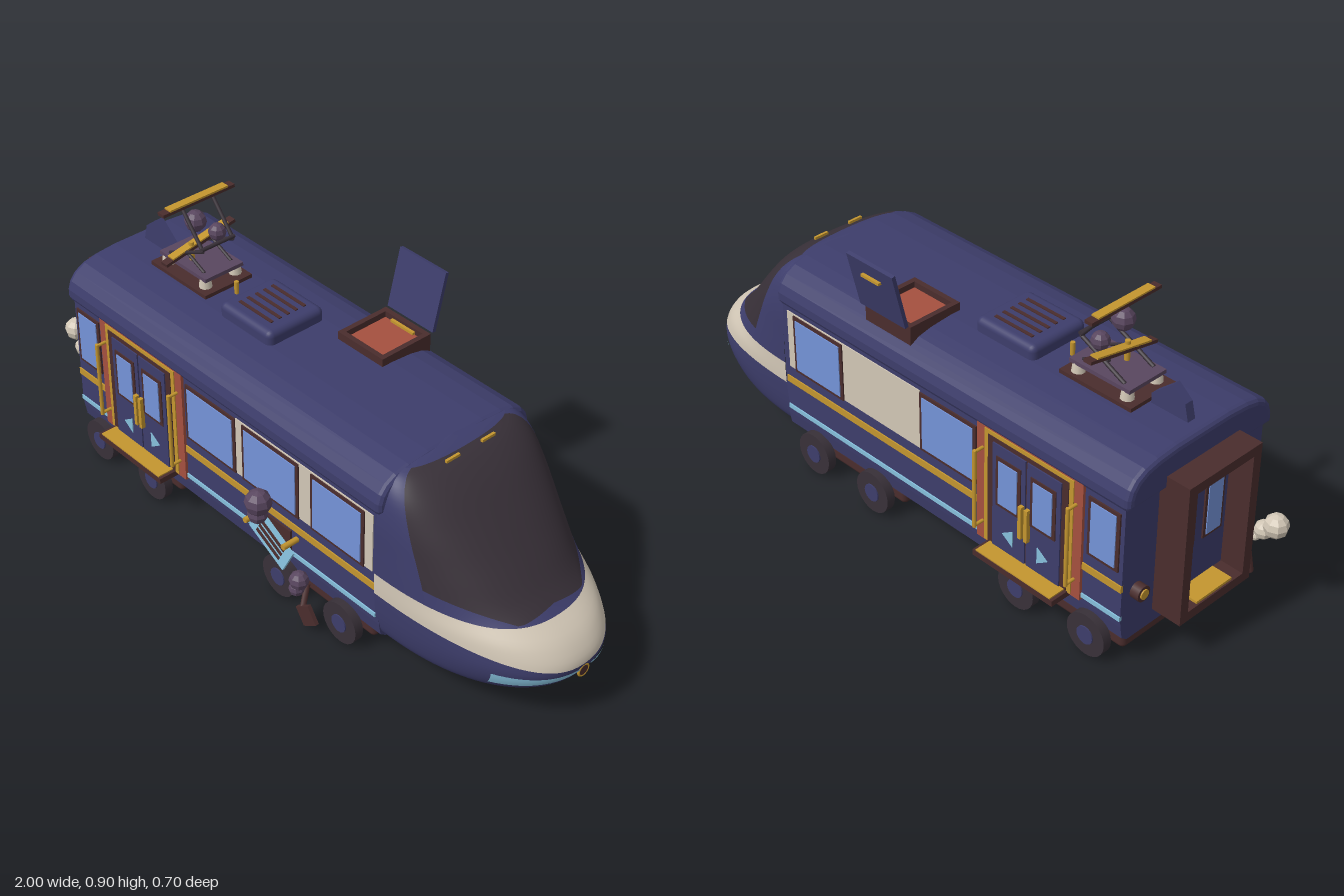
import * as THREE from 'three';
import { RoundedBoxGeometry } from 'three/addons/geometries/RoundedBoxGeometry.js';

const mat = {};
for (const [name, color] of Object.entries({
  navy: 0x3d3d6b, glass: 0x7493d8, cyan: 0x86c0dc, gold: 0xc4962f, brown: 0x4a2d2d,
  charcoal: 0x383038, terracotta: 0xa5503f, cream: 0xd2c7b6, plum: 0x59465f,
})) {
  mat[name] = new THREE.MeshStandardMaterial({ color });
  mat[name].name = name;
}

export function createModel() {
  const model = new THREE.Group();
  model.name = 'train';
  const train = new THREE.Group();
  train.name = 'railcar';
  train.position.z = -0.011;
  model.add(train);

  const add = (name, m, geo, x = 0, y = 0, z = 0) => {
    const mesh = new THREE.Mesh(geo, mat[m]);
    mesh.name = name;
    mesh.position.set(x, y, z);
    train.add(mesh);
    return mesh;
  };
  const box = (name, m, x0, x1, y0, y1, z0, z1) => add(name, m,
    new THREE.BoxGeometry(x1 - x0, y1 - y0, z1 - z0), (x0 + x1) / 2, (y0 + y1) / 2, (z0 + z1) / 2);
  const rounded = (name, m, x0, x1, y0, y1, z0, z1, r) => add(name, m,
    new RoundedBoxGeometry(x1 - x0, y1 - y0, z1 - z0, 3, r), (x0 + x1) / 2, (y0 + y1) / 2, (z0 + z1) / 2);
  const rod = (name, m, a, b, r = 0.006) => {
    const p = new THREE.Vector3(...a), q = new THREE.Vector3(...b), d = q.clone().sub(p);
    const mesh = add(name, m, new THREE.CylinderGeometry(r, r, d.length(), 8));
    mesh.position.copy(p).add(q).multiplyScalar(0.5);
    mesh.quaternion.setFromUnitVectors(new THREE.Vector3(0, 1, 0), d.normalize());
  };
  const puff = (m, x, y, z, r) => {
    const geo = new THREE.SphereGeometry(r, 8, 6).toNonIndexed();
    geo.computeVertexNormals();
    add('smokePuff', m, geo, x, y, z);
  };
  // half profile [z, y] mirrored and extruded along x
  const hull = (name, half, x0, x1, bevel) => {
    const pts = [...half, ...half.map(([z, y]) => [-z, y]).reverse()].map(p => new THREE.Vector2(...p));
    const geo = new THREE.ExtrudeGeometry(new THREE.Shape(pts), {
      depth: x1 - x0 - 2 * bevel, bevelEnabled: bevel > 0, bevelThickness: bevel,
      bevelSize: bevel, bevelOffset: -bevel, bevelSegments: 3 });
    add(name, 'navy', geo.rotateY(Math.PI / 2).translate(x0 + bevel, 0, 0));
  };

  // Carriage body and roof
  hull('body', [[0.235, 0.085], [0.255, 0.1], [0.262, 0.14], [0.265, 0.17], [0.265, 0.55]], -0.825, 0.5, 0);
  hull('roof', [[0.272, 0.53], [0.277, 0.54], [0.277, 0.565], [0.268, 0.592], [0.248, 0.616],
    [0.215, 0.634], [0.17, 0.644], [0.1, 0.65]], -0.845, 0.51, 0.018);

  // Nose: plan-view superellipses swept up a profile of (length, height, half width)
  const profile = new THREE.CatmullRomCurve3([[0, 0.073, 0], [0.3, 0.076, 0.2], [0.4, 0.092, 0.235],
    [0.46, 0.118, 0.254], [0.5, 0.16, 0.264], [0.508, 0.2, 0.269], [0.47, 0.26, 0.273],
    [0.385, 0.32, 0.274], [0.305, 0.41, 0.273], [0.22, 0.505, 0.27], [0.145, 0.58, 0.255],
    [0.09, 0.62, 0.228], [0.05, 0.638, 0.19], [0, 0.652, 0]].map(p => new THREE.Vector3(...p)));
  const tOf = y => {
    let a = 0, b = 1;
    for (let i = 0; i < 24; i++) {
      const m = (a + b) / 2;
      if (profile.getPoint(m).y < y) a = m; else b = m;
    }
    return a;
  };
  const skin = (name, m, a0, a1, low, high, rows, cols, off = 0) => {
    const pos = [], idx = [];
    for (let j = 0; j <= cols; j++) {
      const a = THREE.MathUtils.degToRad(a0 + (a1 - a0) * j / cols);
      const s = Math.sin(a), c = Math.max(Math.cos(a), 0);
      const t0 = low(Math.abs(s)), t1 = high(Math.abs(s));
      for (let i = 0; i <= rows; i++) {
        const p = profile.getPoint(t0 + (t1 - t0) * i / rows);
        pos.push(0.49 + (p.x + off) * c ** 0.87, p.y, (p.z + off) * Math.sign(s) * Math.abs(s) ** 0.87);
        if (i < rows && j < cols) {
          const k = j * (rows + 1) + i, n = k + rows + 1;
          idx.push(k, k + 1, n, n, k + 1, n + 1);
        }
      }
    }
    const geo = new THREE.BufferGeometry();
    geo.setAttribute('position', new THREE.Float32BufferAttribute(pos, 3));
    geo.setIndex(idx);
    geo.computeVertexNormals();
    add(name, m, geo);
  };
  const bandLow = s => tOf(0.19 + 0.065 * s ** 1.6), bandTop = s => tOf(0.3 + 0.025 * s ** 4);
  const glassLow = s => tOf(s > 0.38 ? 0.303 + (s - 0.38) * 0.105 : 0.303 + 0.015 * (1 - s / 0.38));
  const brow = () => tOf(0.639);
  skin('noseLower', 'navy', -90, 90, () => 0, bandLow, 20, 48);
  skin('noseBand', 'cream', -90, 90, bandLow, bandTop, 8, 48);
  skin('noseSill', 'navy', -66, 66, bandTop, glassLow, 2, 40);
  skin('windshield', 'charcoal', -66, 66, glassLow, brow, 20, 40);
  skin('noseCheek', 'navy', -90, -66, bandTop, brow, 20, 10);
  skin('noseCheek', 'navy', 66, 90, bandTop, brow, 20, 10);
  skin('noseBrow', 'navy', -90, 90, brow, () => 1, 6, 48);
  const lampLow = s => tOf(0.18 - 0.035 * s / 0.727), lampTop = s => tOf(0.184 + 0.002 * s);
  skin('headlight', 'cyan', 3, 46.6, lampLow, lampTop, 4, 14, 0.004);
  skin('headlight', 'cyan', -46.6, -3, lampLow, lampTop, 4, 14, 0.004);
  add('noseLamp', 'brown', new THREE.CylinderGeometry(0.017, 0.017, 0.012, 16).rotateZ(Math.PI / 2), 0.992, 0.165, 0);
  add('noseLampRing', 'gold', new THREE.TorusGeometry(0.018, 0.004, 8, 20).rotateY(Math.PI / 2), 0.995, 0.165, 0);
  for (const z of [-0.065, 0.065]) box('browMarker', 'gold', 0.55, 0.558, 0.636, 0.644, z - 0.024, z + 0.024);

  // Both side walls
  for (const side of [1, -1]) {
    const plate = (name, m, x0, x1, y0, y1, d0, d1) => box(name, m, x0, x1, y0, y1,
      Math.min(side * d0, side * d1), Math.max(side * d0, side * d1));
    const window_ = (x0, x1, y0, y1, d) => {
      plate('windowFrame', 'brown', x0, x1, y0, y1, d, d + 0.006);
      plate('windowGlass', 'glass', x0 + 0.011, x1 - 0.011, y0 + 0.011, y1 - 0.011, d, d + 0.009);
    };
    plate('goldStripe', 'gold', -0.825, 0.49, 0.259, 0.281, 0.26, 0.269);
    plate('cyanStripe', 'cyan', -0.825, 0.49, 0.164, 0.178, 0.26, 0.269);
    plate('wallPanel', 'cream', -0.08, 0.475, 0.318, 0.51, 0.26, 0.268);
    window_(-0.812, -0.705, 0.32, 0.506, 0.264);
    window_(-0.3, -0.082, 0.316, 0.506, 0.264);
    if (side > 0) window_(-0.05, 0.185, 0.316, 0.506, 0.266);
    window_(0.235, 0.445, 0.316, 0.506, 0.266);

    // Double door
    plate('doorSurround', 'terracotta', -0.69, -0.31, 0.155, 0.54, 0.26, 0.274);
    plate('doorTrim', 'gold', -0.66, -0.34, 0.16, 0.53, 0.26, 0.277);
    plate('doorRecess', 'brown', -0.645, -0.355, 0.16, 0.518, 0.26, 0.279);
    for (const d of [-1, 1]) {
      const cx = -0.5 + d * 0.063;
      plate('doorLeaf', 'navy', cx - 0.06, cx + 0.06, 0.165, 0.505, 0.26, 0.283);
      window_(cx - 0.045, cx + 0.045, 0.31, 0.47, 0.28);
      const tri = new THREE.Shape([[d * 0.02, 0], [-d * 0.018, 0.026], [-d * 0.018, -0.026]].map(p => new THREE.Vector2(...p)));
      add('doorArrow', 'cyan', new THREE.ExtrudeGeometry(tri, { depth: 0.004, bevelEnabled: false }), cx, 0.226, side * 0.284 - 0.002);
      plate('doorHandle', 'gold', -0.5 + d * 0.011 - 0.006, -0.5 + d * 0.011 + 0.006, 0.255, 0.36, 0.28, 0.296);
      const rx = -0.5 + d * 0.168, z = side * 0.305;
      rod('handrail', 'gold', [rx, 0.21, z], [rx, 0.465, z]);
      for (const y of [0.215, 0.46]) rod('railBracket', 'gold', [rx, y, side * 0.265], [rx, y, z], 0.005);
    }
    plate('stepBase', 'brown', -0.65, -0.355, 0.145, 0.163, 0.25, 0.335);
    plate('stepTread', 'gold', -0.64, -0.365, 0.162, 0.167, 0.26, 0.333);

    // Wheels
    for (const x of [-0.725, -0.468, 0.11, 0.366]) {
      add('wheel', 'charcoal', new THREE.CylinderGeometry(0.066, 0.066, 0.028, 24).rotateX(Math.PI / 2), x, 0.066, side * 0.27);
      add('wheelHub', 'navy', new THREE.CylinderGeometry(0.028, 0.028, 0.036, 16).rotateX(Math.PI / 2), x, 0.066, side * 0.27);
    }
    add('tailLamp', 'brown', new THREE.CylinderGeometry(0.024, 0.024, 0.03, 14).rotateZ(Math.PI / 2), -0.838, 0.24, side * 0.21);
    add('tailLampLens', 'gold', new THREE.CylinderGeometry(0.015, 0.015, 0.034, 14).rotateZ(Math.PI / 2), -0.84, 0.24, side * 0.21);
  }
  for (const x of [-0.6, 0.24]) rounded('bogie', 'brown', x - 0.215, x + 0.215, 0.04, 0.09, -0.237, 0.237, 0.015);

  // Rear gangway, open at the back
  for (const s of [-1, 1]) box('gangwayWall', 'brown', -0.92, -0.82, 0.145, 0.575, s * 0.125 - 0.015, s * 0.125 + 0.015);
  box('gangwayTop', 'brown', -0.92, -0.82, 0.545, 0.575, -0.14, 0.14);
  box('gangwayFloor', 'brown', -0.92, -0.82, 0.13, 0.16, -0.14, 0.14);
  box('rearDoor', 'navy', -0.845, -0.82, 0.16, 0.545, -0.11, 0.11);
  for (const s of [-1, 1]) {
    box('rearDoorFrame', 'brown', -0.85, -0.84, 0.29, 0.52, s * 0.055 - 0.038, s * 0.055 + 0.038);
    box('rearDoorGlass', 'glass', -0.853, -0.845, 0.3, 0.51, s * 0.055 - 0.028, s * 0.055 + 0.028);
  }
  box('rearLedge', 'gold', -0.915, -0.85, 0.16, 0.168, -0.07, 0.07);
  rod('exhaustPipe', 'brown', [-0.89, 0.11, 0.18], [-0.865, 0.23, 0.18], 0.012);
  puff('cream', -0.964, 0.31, 0.176, 0.036);
  puff('cream', -0.92, 0.268, 0.184, 0.028);
  puff('cream', -0.895, 0.235, 0.184, 0.016);

  // Roof fin
  const fin = new THREE.Shape([[-0.8, 0.64], [-0.785, 0.7], [-0.74, 0.737], [-0.675, 0.68], [-0.675, 0.64]].map(p => new THREE.Vector2(...p)));
  add('roofFin', 'navy', new THREE.ExtrudeGeometry(fin, { depth: 0.028, bevelEnabled: false }).translate(0, 0, -0.014));

  // Roof vent
  rounded('roofVent', 'navy', -0.34, -0.12, 0.63, 0.692, -0.1, 0.105, 0.02);
  for (let i = -2; i <= 2; i++) box('ventSlot', 'brown', -0.3, -0.16, 0.688, 0.695, i * 0.03 - 0.005, i * 0.03 + 0.005);

  // Pantograph
  box('pantographBase', 'brown', -0.67, -0.42, 0.645, 0.662, -0.085, 0.088);
  for (const x of [-0.63, -0.46]) for (const z of [-0.055, 0.055])
    add('insulator', 'cream', new THREE.CylinderGeometry(0.016, 0.02, 0.03, 10), x, 0.675, z);
  box('pantographPlate', 'plum', -0.65, -0.44, 0.688, 0.7, -0.07, 0.07);
  for (const z of [-0.055, 0.055]) {
    rod('lowerArm', 'charcoal', [-0.62, 0.7, z], [-0.465, 0.775, z]);
    rod('upperArm', 'charcoal', [-0.465, 0.775, z], [-0.555, 0.882, z]);
    rod('braceArm', 'charcoal', [-0.47, 0.7, z * 0.9], [-0.56, 0.74, z * 0.9], 0.005);
  }
  rod('armCrossbar', 'charcoal', [-0.465, 0.782, -0.06], [-0.465, 0.782, 0.06]);
  for (const [y, tilt] of [[0.886, 0], [0.745, 0.19]]) {
    for (const [name, m, dy, h, w] of [['collectorBar', 'brown', 0, 0.01, 0.26], ['collectorStrip', 'gold', 0.007, 0.006, 0.21]])
      add(name, m, new THREE.BoxGeometry(0.026, h, w), -0.555, y + dy, 0).rotation.x = tilt;
  }
  rod('pantographPost', 'gold', [-0.55, 0.69, 0.03], [-0.55, 0.76, 0.03], 0.008);
  rod('roofPeg', 'gold', [-0.387, 0.64, 0], [-0.387, 0.69, 0], 0.007);
  puff('plum', -0.543, 0.828, 0.017, 0.033);
  puff('plum', -0.52, 0.778, -0.042, 0.027);

  // Open roof hatch
  for (const z of [-0.237, -0.071]) box('hatchFrame', 'brown', -0.025, 0.155, 0.6, 0.675, z - 0.008, z + 0.008);
  for (const x of [-0.017, 0.147]) box('hatchFrame', 'brown', x - 0.008, x + 0.008, 0.6, 0.675, -0.245, -0.063);
  box('hatchFloor', 'terracotta', -0.02, 0.15, 0.62, 0.656, -0.24, -0.068);
  box('hatchRung', 'gold', 0.02, 0.11, 0.658, 0.666, -0.229, -0.22);
  add('hatchLid', 'navy', new THREE.BoxGeometry(0.18, 0.182, 0.012), 0.068, 0.766, -0.276).rotation.x = -0.24;
  add('hatchHandle', 'gold', new THREE.BoxGeometry(0.07, 0.008, 0.014), 0.068, 0.808, -0.296);

  // Loose service panel and debris
  box('serviceOpening', 'brown', -0.01, 0.15, 0.175, 0.25, 0.262, 0.272);
  const panel = new THREE.Group();
  panel.name = 'servicePanel';
  panel.position.set(0.085, 0.188, 0.284);
  panel.rotation.set(-0.12, 0, -0.42);
  panel.add(new THREE.Mesh(new THREE.BoxGeometry(0.165, 0.082, 0.008), mat.cyan));
  for (let i = -1; i <= 1; i++) {
    const slat = new THREE.Mesh(new THREE.BoxGeometry(0.11, 0.011, 0.012), mat.brown);
    slat.position.y = i * 0.02;
    panel.add(slat);
  }
  panel.children.forEach((c, i) => { c.name = i ? 'panelSlot' : 'panelPlate'; });
  train.add(panel);
  for (const [x, y] of [[0.172, 0.233], [0.01, 0.228]]) rod('panelLatch', 'gold', [x, y, 0.262], [x, y, 0.318], 0.009);
  puff('plum', 0.075, 0.337, 0.321, 0.04);
  puff('plum', 0.062, 0.283, 0.313, 0.03);
  puff('plum', 0.255, 0.178, 0.332, 0.029);
  puff('plum', 0.238, 0.133, 0.326, 0.023);
  rod('brokenPipe', 'brown', [0.23, 0.115, 0.28], [0.25, 0.06, 0.315], 0.009);
  add('debrisPlate', 'brown', new THREE.BoxGeometry(0.06, 0.06, 0.012), 0.27, 0.048, 0.316).rotation.z = 0.6;
  return model;
}
